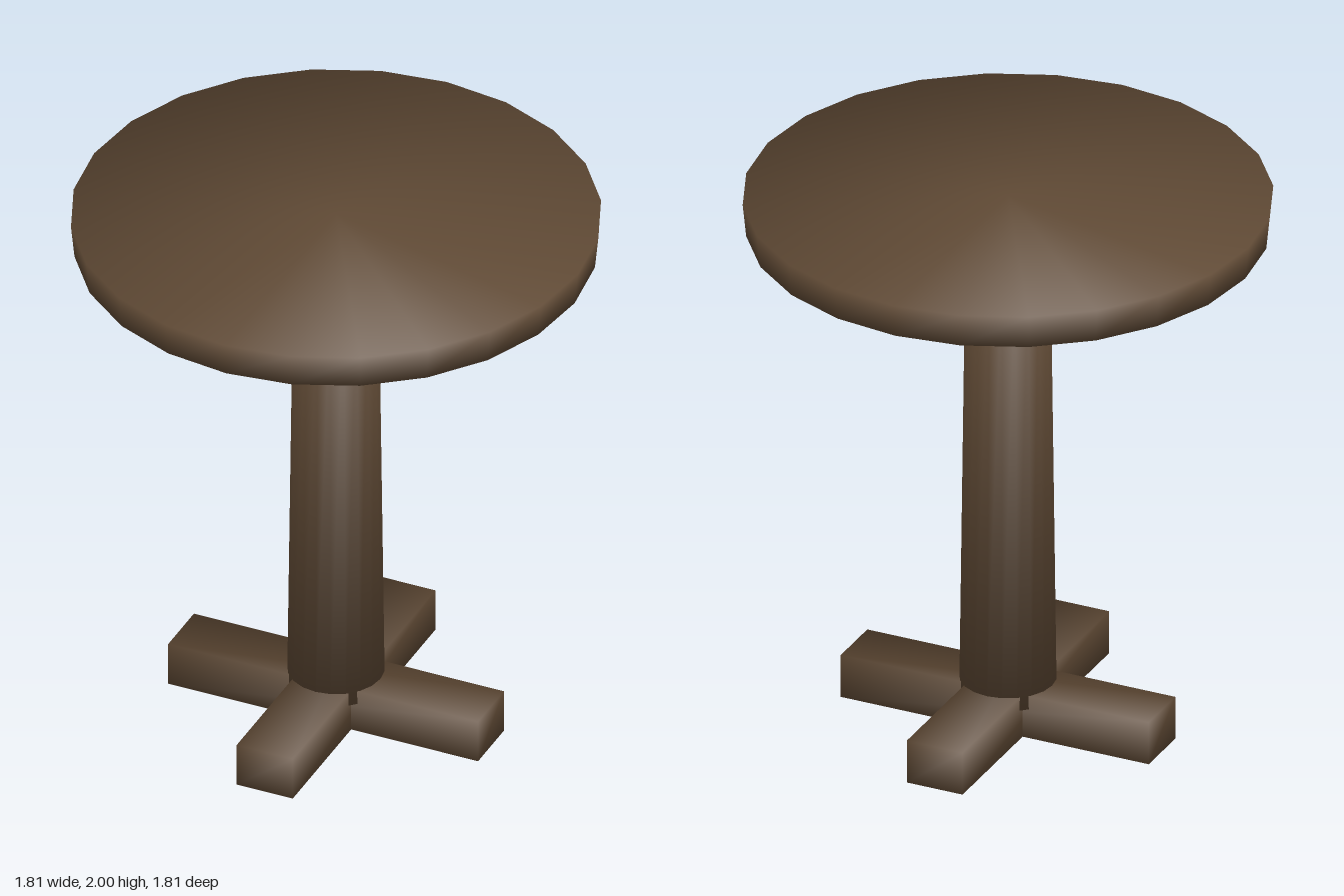
import * as THREE from 'three';

const wood = new THREE.MeshStandardMaterial({ color: 0x604a35 });
wood.name = 'darkWood';

// Soft shading: every corner normal leans halfway between the faces meeting there
function soften(geometry, round) {
  const p = geometry.attributes.position;
  const n = new THREE.Vector3();
  for (let i = 0; i < p.count; i++) {
    const x = p.getX(i), z = p.getZ(i), r = Math.hypot(x, z);
    const up = Math.sign(p.getY(i));
    if (round) n.set(r > 1e-6 ? x / r : 0, up, r > 1e-6 ? z / r : 0);
    else n.set(Math.sign(x), up, Math.sign(z));
    n.normalize();
    geometry.attributes.normal.setXYZ(i, n.x, n.y, n.z);
  }
  return geometry;
}

function addPart(group, name, geometry, bottom, top) {
  const mesh = new THREE.Mesh(geometry, wood);
  mesh.name = name;
  mesh.position.y = (bottom + top) / 2;
  group.add(mesh);
  return mesh;
}

function addRound(group, name, topRadius, bottomRadius, bottom, top, sides) {
  const g = new THREE.CylinderGeometry(topRadius, bottomRadius, top - bottom, sides);
  return addPart(group, name, soften(g, true), bottom, top);
}

export function createModel() {
  const table = new THREE.Group();
  table.name = 'pedestalTable';

  // Round top, floating just above the column
  addRound(table, 'tableTop', 0.905, 0.893, 1.88, 2, 24);

  // Tapered column
  addRound(table, 'column', 0.145, 0.167, 0.11, 1.85, 20);

  // Two crossed foot beams
  const beam = soften(new THREE.BoxGeometry(1.16, 0.16, 0.21), false);
  for (let i = 0; i < 2; i++) {
    addPart(table, i ? 'footBeamLengthwise' : 'footBeamCrosswise', beam, 0, 0.16)
      .rotation.y = i * Math.PI / 2;
  }
  return table;
}
